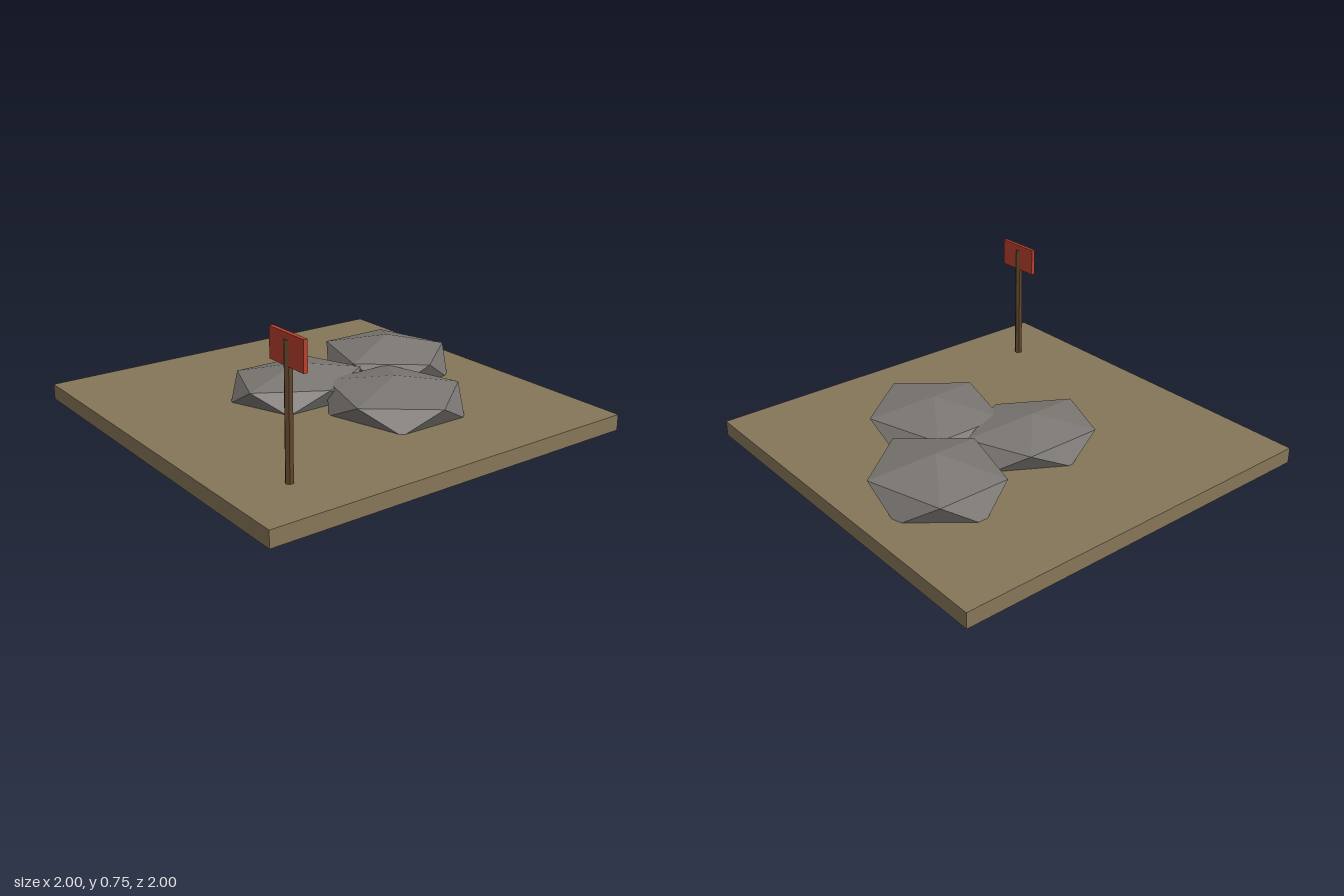
import * as THREE from 'three';
import { ConvexGeometry } from 'three/addons/geometries/ConvexGeometry.js';

const mat = (name, color) => {
  const m = new THREE.MeshStandardMaterial({ color, flatShading: true });
  m.name = name;
  return m;
};

// Flattened icosahedron with a corner pointing up; rx and rz are the radii of its five-sided rings
function rockGeometry(rx, h, rz) {
  const points = [new THREE.Vector3(0, h, 0), new THREE.Vector3(0, -h, 0)];
  for (let i = 0; i < 10; i++) {
    const a = (i * Math.PI) / 5;
    const y = (i % 2 ? -1 : 1) * h / Math.sqrt(5);
    points.push(new THREE.Vector3(rx * Math.cos(a), y, rz * Math.sin(a)));
  }
  return new ConvexGeometry(points);
}

export function createModel() {
  const earth = mat('earth', 0x857658);
  const stone = mat('stone', 0x7a7672);
  const wood = mat('wood', 0x5f452c);
  const red = mat('red', 0xb8402c);

  const model = new THREE.Group();
  const add = (name, geometry, material, x, y, z) => {
    const mesh = new THREE.Mesh(geometry, material);
    mesh.name = name;
    mesh.position.set(x, y, z);
    model.add(mesh);
  };

  // Ground slab
  add('ground', new THREE.BoxGeometry(2, 0.08, 2), earth, 0, 0.055, 0);

  // Three overlapping boulders: x, z, ring radius x, half height, ring radius z
  const rocks = [
    [-0.2, -0.55, 0.35, 0.14, 0.32],
    [0.29, -0.2, 0.36, 0.12, 0.33],
    [-0.155, 0.065, 0.285, 0.115, 0.352],
  ];
  rocks.forEach(([x, z, rx, h, rz], i) =>
    add('rock' + (i + 1), rockGeometry(rx, h, rz), stone, x, 0.14, z));

  // Sign post and board
  add('signPost', new THREE.CylinderGeometry(0.02, 0.02, 0.62, 6), wood, 0.7, 0.405, 0.7);
  add('signBoard', new THREE.BoxGeometry(0.24, 0.14, 0.02), red, 0.7, 0.675, 0.7);

  return model;
}
